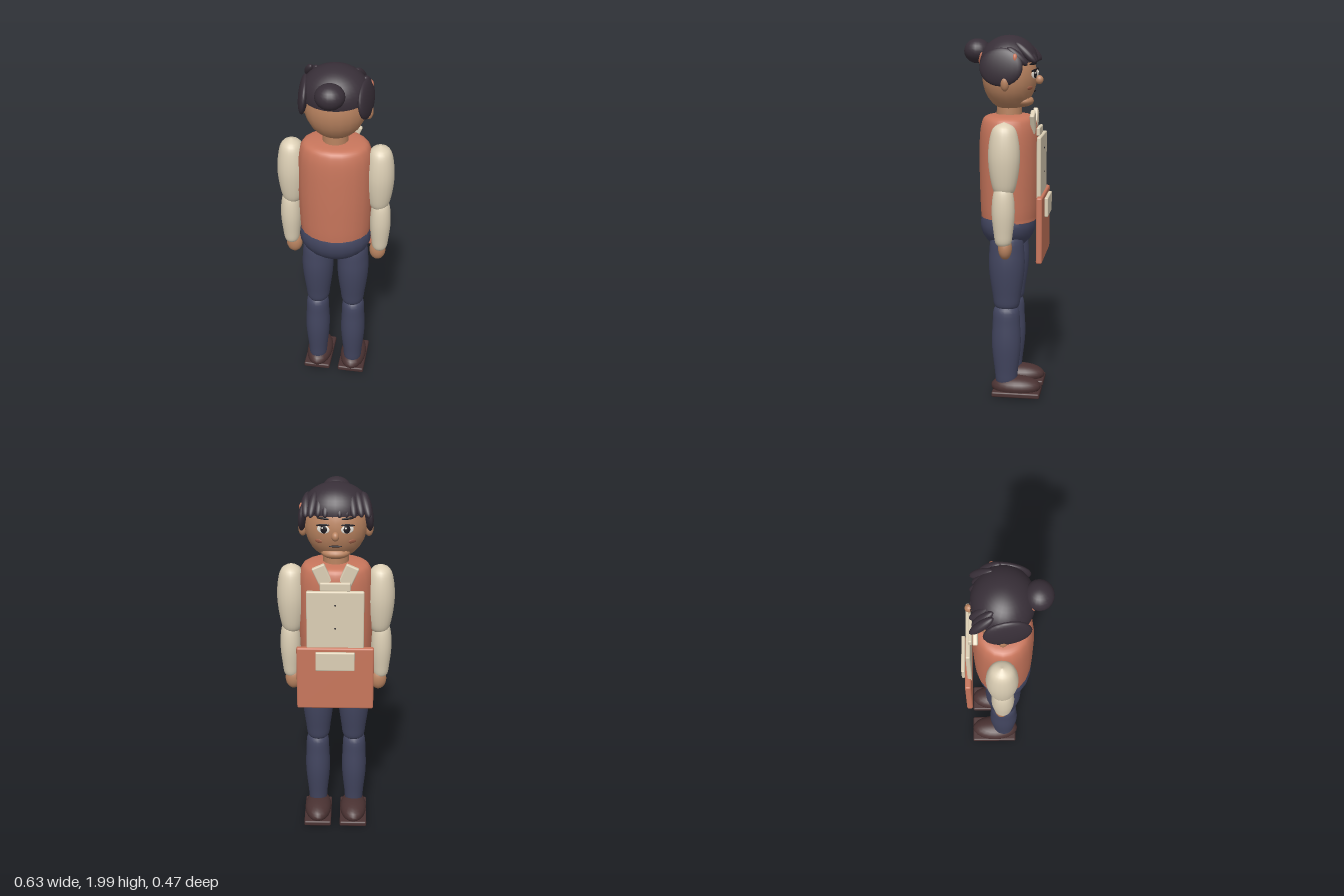
import * as THREE from 'three';
import { RoundedBoxGeometry } from 'three/addons/geometries/RoundedBoxGeometry.js';

const mat = (name, color, double = false) => {
  const m = new THREE.MeshStandardMaterial({ color });
  m.name = name;
  if (double) m.side = THREE.DoubleSide;
  return m;
};

export function createModel() {
  const root = new THREE.Group();
  root.name = 'standingFigure';
  const terracotta = mat('terracotta', 0xc8765c);
  const cream = mat('cream', 0xdccfb5);
  const navy = mat('navy', 0x42455f);
  const skin = mat('skin', 0xb98360);
  const hair = mat('hair', 0x382f38, true);
  const shoe = mat('shoeBrown', 0x4a3232);
  const white = mat('eyeWhite', 0xece6dc);
  const dark = mat('dark', 0x1d1a1f);
  const blush = mat('blush', 0xa4624a);

  const add = (name, geo, material, pos = [0, 0, 0], rot = [0, 0, 0]) => {
    const m = new THREE.Mesh(geo, material);
    m.name = name;
    m.position.set(...pos);
    m.rotation.set(...rot);
    root.add(m);
    return m;
  };
  const ball = (name, material, pos, size, rot) => {
    const m = add(name, new THREE.SphereGeometry(1, 20, 14), material, pos, rot);
    m.scale.set(...size);
    return m;
  };
  const slab = (name, material, pos, size, rot) =>
    add(name, new RoundedBoxGeometry(...size, 2, Math.min(...size) * 0.3), material, pos, rot);
  // Smooth turned body with separate width and depth; profile is [radius, y], bottom to top
  const turned = (name, material, profile, pos, sx = 1, sz = 1) => {
    const curve = new THREE.SplineCurve(profile.map(p => new THREE.Vector2(...p)));
    const pts = curve.getPoints(profile.length * 4).map(p => new THREE.Vector2(Math.max(p.x, 0), p.y));
    const m = add(name, new THREE.LatheGeometry(pts, 20), material, pos);
    m.scale.set(sx, 1, sz);
    return m;
  };
  // Ellipsoid lock stretched between two points
  const lock = (name, a, b, radius) => {
    const from = new THREE.Vector3(...a), to = new THREE.Vector3(...b);
    const d = to.clone().sub(from);
    const m = ball(name, hair, from.clone().add(to).multiplyScalar(0.5).toArray(), [radius, d.length() / 2, radius]);
    m.quaternion.setFromUnitVectors(new THREE.Vector3(0, 1, 0), d.normalize());
  };

  // Body
  turned('torso', terracotta, [
    [0, 1.0], [0.17, 1.003], [0.19, 1.025], [0.198, 1.15], [0.202, 1.3],
    [0.2, 1.45], [0.188, 1.53], [0.162, 1.568], [0.1, 1.58], [0, 1.585],
  ], [0, 0, -0.01], 1, 0.8);
  ball('hips', navy, [0, 0.985, -0.005], [0.198, 0.145, 0.152]);
  add('neck', new THREE.CylinderGeometry(0.068, 0.07, 0.12, 20), skin, [0, 1.585, -0.01]);

  // Limbs
  for (const s of [1, -1]) {
    const side = s > 0 ? 'left' : 'right';
    turned(side + 'UpperArm', cream, [
      [0, 1.17], [0.045, 1.19], [0.066, 1.26], [0.078, 1.37], [0.071, 1.47], [0.05, 1.535], [0, 1.563],
    ], [s * 0.237, 0, -0.015], 1, 1.08);
    turned(side + 'Forearm', cream, [
      [0, 0.9], [0.036, 0.915], [0.048, 0.98], [0.057, 1.08], [0.052, 1.17], [0.035, 1.22], [0, 1.235],
    ], [s * 0.247, 0, -0.012], 1, 1.08);
    ball(side + 'Hand', skin, [s * 0.235, 0.89, -0.02], [0.045, 0.062, 0.037]);
    turned(side + 'Thigh', navy, [
      [0, 0.515], [0.055, 0.525], [0.07, 0.6], [0.086, 0.73], [0.086, 0.83], [0.07, 0.93], [0, 0.98],
    ], [s * 0.1, 0, -0.01], 1, 1.13);
    turned(side + 'Shin', navy, [
      [0, 0.07], [0.045, 0.08], [0.056, 0.16], [0.069, 0.3], [0.066, 0.42], [0.056, 0.52], [0, 0.545],
    ], [s * 0.104, 0, -0.008], 1, 1.17);
    ball(side + 'Shoe', shoe, [s * 0.102, 0.065, -0.062], [0.076, 0.058, 0.14]);
    slab(side + 'Sole', shoe, [s * 0.102, 0.033, -0.067], [0.154, 0.03, 0.268]);
  }

  // Head
  const headY = 1.785, headZ = -0.012, R = [0.165, 0.185, 0.148];
  ball('head', skin, [0, headY, headZ], R);
  ball('chin', skin, [0, 1.652, -0.083], [0.076, 0.033, 0.06]);
  ball('nose', skin, [0, 1.765, -0.172], [0.02, 0.024, 0.022]);
  for (const s of [1, -1]) ball('ear', skin, [s * 0.172, 1.76, -0.01], [0.024, 0.045, 0.025]);

  // Thin discs laid on the curved face at (x, y)
  const facePatch = (name, material, x, y, w, h, lift, roll = 0) => {
    const nx = x / R[0], ny = (y - headY) / R[1];
    const z = -Math.sqrt(1 - nx * nx - ny * ny);
    const n = new THREE.Vector3(nx / R[0], ny / R[1], z / R[2]).normalize();
    const m = ball(name, material, [x, y, headZ + z * R[2]], [w, h, 0.004]);
    m.position.addScaledVector(n, lift);
    m.lookAt(m.position.clone().add(n));
    m.rotateZ(roll);
  };
  for (const s of [1, -1]) {
    facePatch('eyeWhite', white, s * 0.06, 1.797, 0.034, 0.022, 0.003);
    facePatch('iris', dark, s * 0.057, 1.797, 0.018, 0.02, 0.006);
    facePatch('eyeGlint', white, s * 0.057 + 0.006, 1.804, 0.005, 0.005, 0.009);
    facePatch('upperLash', dark, s * 0.062, 1.818, 0.037, 0.006, 0.006, s * 0.12);
    facePatch('eyebrow', dark, s * 0.062, 1.85, 0.035, 0.006, 0.004);
    facePatch('cheek', blush, s * 0.085, 1.728, 0.022, 0.011, 0.002);
  }
  facePatch('mouth', dark, 0, 1.706, 0.034, 0.005, 0.003);

  // Hair
  const cap = add('hairCap', new THREE.SphereGeometry(1, 28, 12, 0, Math.PI * 2, 0, Math.PI * 0.52),
    hair, [0, 1.855, -0.008], [0.13, 0, 0]);
  cap.scale.set(0.178, 0.145, 0.158);
  for (const s of [1, -1]) {
    ball('sideHair', hair, [s * 0.161, 1.84, 0.012], [0.027, 0.1, 0.118], [0, -s * 0.15, s * 0.12]);
  }
  for (let i = 0; i < 9; i++) {
    const x = -0.17 + i * 0.037;
    lock('fringeLock', [x * 0.8, 1.965, -0.055], [x, 1.862, -0.166 + 0.012 * (i % 2)], 0.024);
  }
  lock('fringeLock', [0.15, 1.94, -0.02], [0.152, 1.85, -0.125], 0.024);
  ball('hairBun', hair, [0, 1.915, 0.162], [0.077, 0.066, 0.072]);
  add('bunTie', new THREE.TorusGeometry(0.056, 0.014, 10, 24), terracotta, [0, 1.9, 0.135]);
  ball('hairClip', terracotta, [0.17, 1.885, -0.063], [0.017, 0.026, 0.014]);

  // Front panels: bib, collar tabs, apron and pocket
  slab('apronPanel', terracotta, [0, 0.98, -0.197], [0.412, 0.36, 0.033]);
  slab('pocket', cream, [0, 1.09, -0.225], [0.208, 0.106, 0.02]);
  slab('bib', cream, [0, 1.3, -0.188], [0.302, 0.35, 0.024]);
  slab('bibBand', cream, [0, 1.495, -0.176], [0.16, 0.045, 0.02]);
  for (const s of [1, -1]) {
    slab('collarTab', cream, [s * 0.068, 1.545, -0.147], [0.072, 0.115, 0.026], [0, 0, -s * 0.42]);
  }
  for (const y of [1.4, 1.27]) ball('button', dark, [0, y, -0.2], [0.005, 0.005, 0.004]);

  return root;
}
